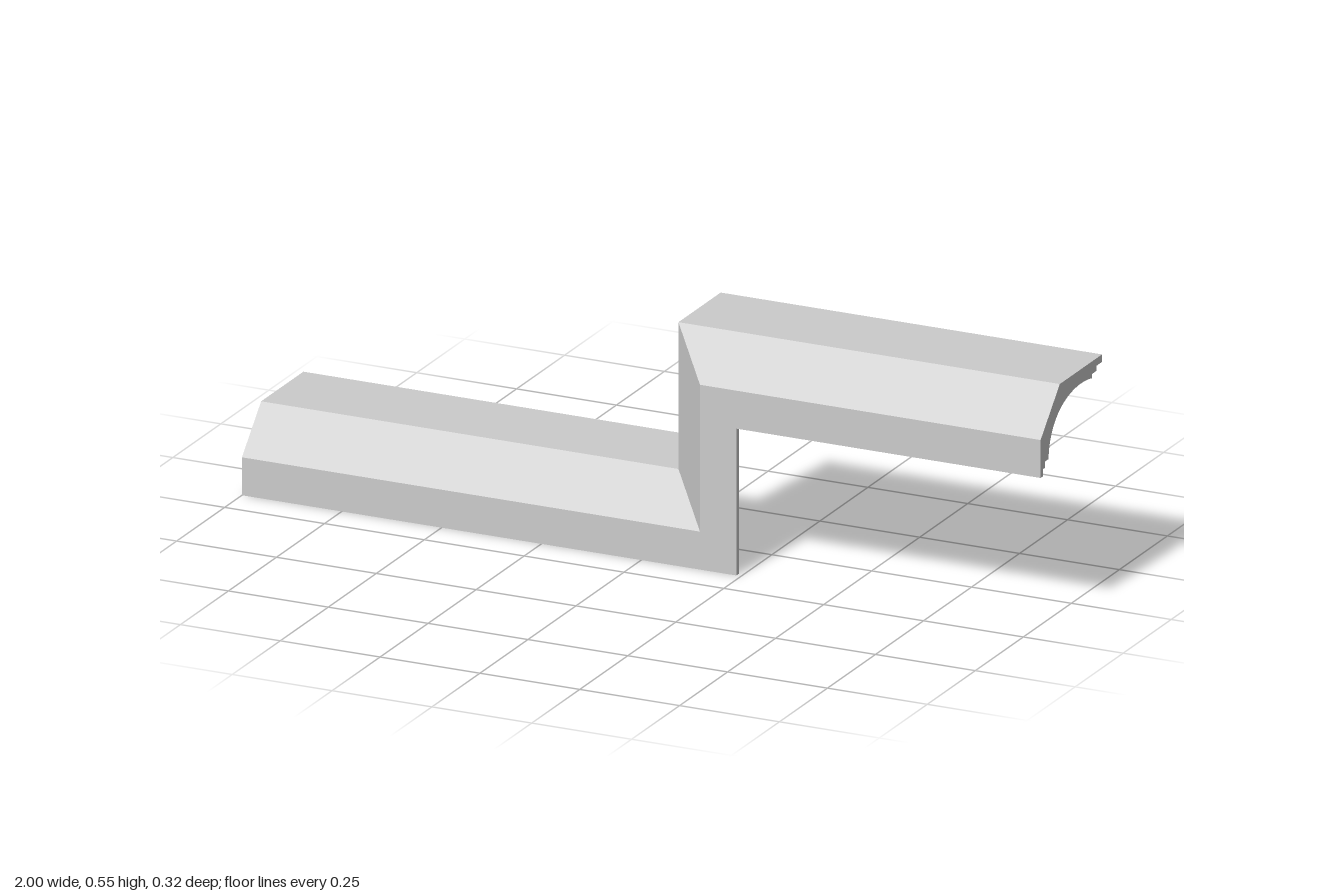
import * as THREE from 'three';
import { toCreasedNormals } from 'three/addons/utils/BufferGeometryUtils.js';

const LOW = 0.193, HIGH = 0.545, STEP_X = 0.045;

// Moulding cross-section as (z, depth below the outer face)
function mouldingProfile() {
  const cove = new THREE.CubicBezierCurve(
    new THREE.Vector2(0.119, 0.161), new THREE.Vector2(0.112, 0.05),
    new THREE.Vector2(-0.01, 0.02), new THREE.Vector2(-0.107, 0.04)
  ).getPoints(32);
  const v = (z, d) => new THREE.Vector2(z, d);
  return [
    v(-0.16, 0), v(0.06, 0), v(0.16, 0.102),               // back, top, chamfer
    v(0.16, 0.193), v(0.147, 0.193), v(0.147, 0.176),      // front stepped fillets
    v(0.136, 0.176), v(0.136, 0.161),
    ...cove,                                               // hollow cove
    v(-0.107, 0.03), v(-0.131, 0.03), v(-0.131, 0.018), v(-0.16, 0.018), // rear fillets
  ];
}

// Stations along the path; the two corners are mitred
const stations = [
  d => [-1, LOW - d],
  d => [STEP_X + d, LOW - d],
  d => [STEP_X + d, HIGH - d],
  d => [1, HIGH - d],
];

function segment(name, profile, start, end, material, cap) {
  const pos = [];
  const put = (station, p) => pos.push(...station(p.y), p.x);
  profile.forEach((a, i) => {
    const b = profile[(i + 1) % profile.length];
    put(start, a); put(start, b); put(end, b);
    put(start, a); put(end, b); put(end, a);
  });
  // Close the free end
  if (cap) {
    const station = cap === 'start' ? start : end;
    for (const [a, b, c] of THREE.ShapeUtils.triangulateShape(profile, [])) {
      const order = cap === 'start' ? [a, c, b] : [a, b, c];
      order.forEach(i => put(station, profile[i]));
    }
  }
  const geometry = new THREE.BufferGeometry();
  geometry.setAttribute('position', new THREE.Float32BufferAttribute(pos, 3));
  const mesh = new THREE.Mesh(toCreasedNormals(geometry, 0.5), material);
  mesh.name = name;
  return mesh;
}

export function createModel() {
  const group = new THREE.Group();
  group.name = 'steppedMoulding';
  const material = new THREE.MeshStandardMaterial({ color: 0xcccccc });
  const profile = mouldingProfile();
  const [a, b, c, d] = stations;
  group.add(
    segment('lowerRun', profile, a, b, material, 'start'),
    segment('riser', profile, b, c, material),
    segment('upperRun', profile, c, d, material, 'end'),
  );
  return group;
}
